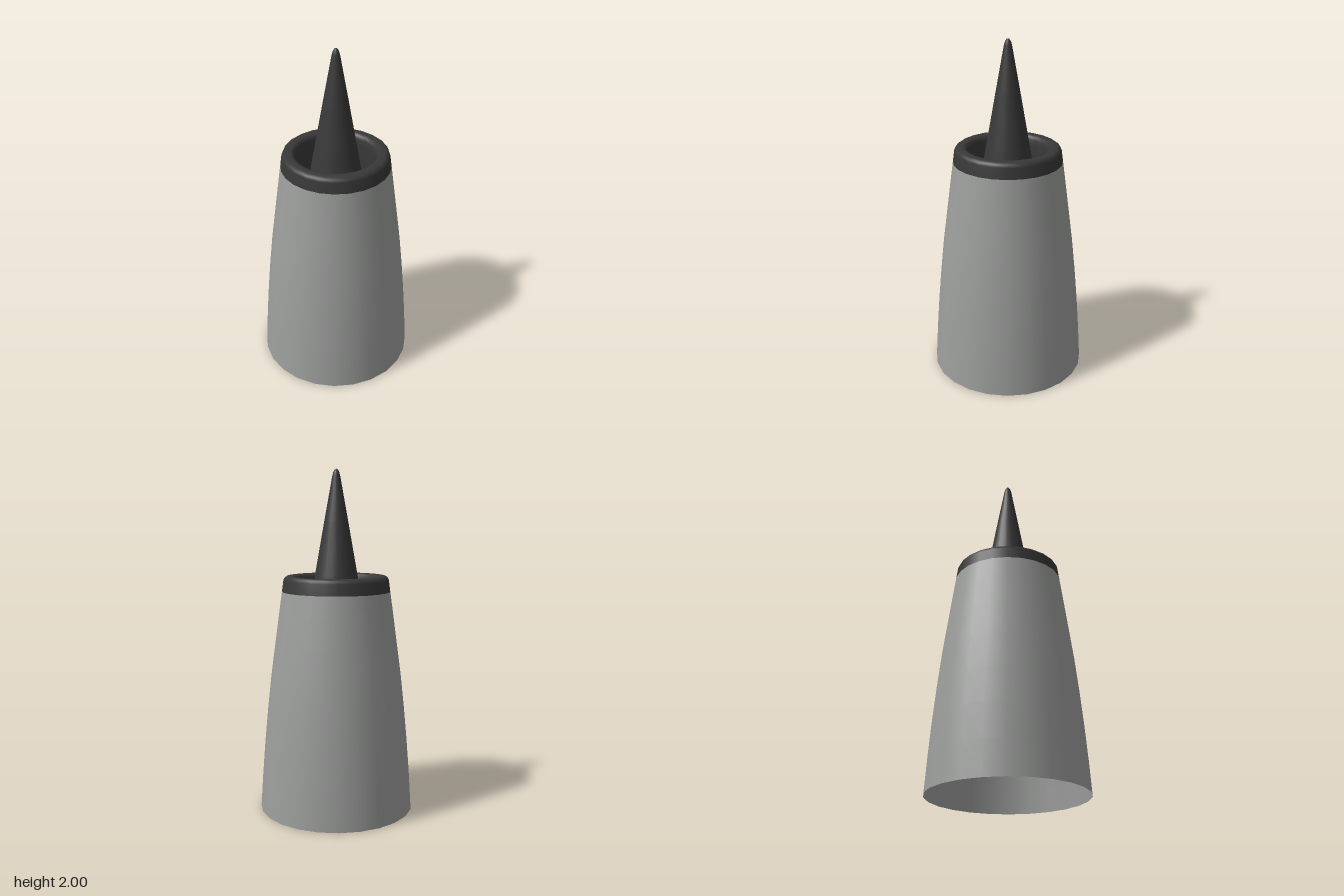
import * as THREE from 'three';

const SIDES = 24;

// Surface of revolution from [radius, height] pairs listed bottom to top on the outside
function turned(name, points, material) {
  const profile = points.map(([r, y]) => new THREE.Vector2(r, y));
  const mesh = new THREE.Mesh(new THREE.LatheGeometry(profile, SIDES), material);
  mesh.name = name;
  return mesh;
}

export function createModel() {
  const grey = new THREE.MeshStandardMaterial({ color: 0x9c9e9c, side: THREE.DoubleSide });
  grey.name = 'grey shell';
  const black = new THREE.MeshStandardMaterial({ color: 0x383838, side: THREE.DoubleSide });
  black.name = 'charcoal';

  const model = new THREE.Group();
  model.name = 'spikedCone';

  // Hollow tapering body, open underneath
  model.add(turned('body', [
    [0.455, 0], [0.442, 0.2], [0.426, 0.4], [0.407, 0.6], [0.385, 0.8],
    [0.358, 1.0], [0.335, 1.17], [0.317, 1.3],
  ], grey));

  // Rounded collar that turns over into the well
  model.add(turned('collar', [
    [0.317, 1.3], [0.308, 1.365], [0.302, 1.38], [0.288, 1.39],
    [0.255, 1.39], [0.24, 1.383], [0.232, 1.365], [0.228, 1.33], [0.228, 1.07],
  ], black));

  // Flat floor of the well around the spike
  model.add(turned('wellFloor', [[0.228, 1.07], [0, 1.07]], black));

  // Tall spike with a blunt tip
  model.add(turned('spike', [
    [0.182, 1.07], [0.125, 1.39], [0.07, 1.7], [0.022, 1.965],
    [0.016, 1.985], [0.008, 1.997], [0, 2],
  ], black));

  return model;
}
